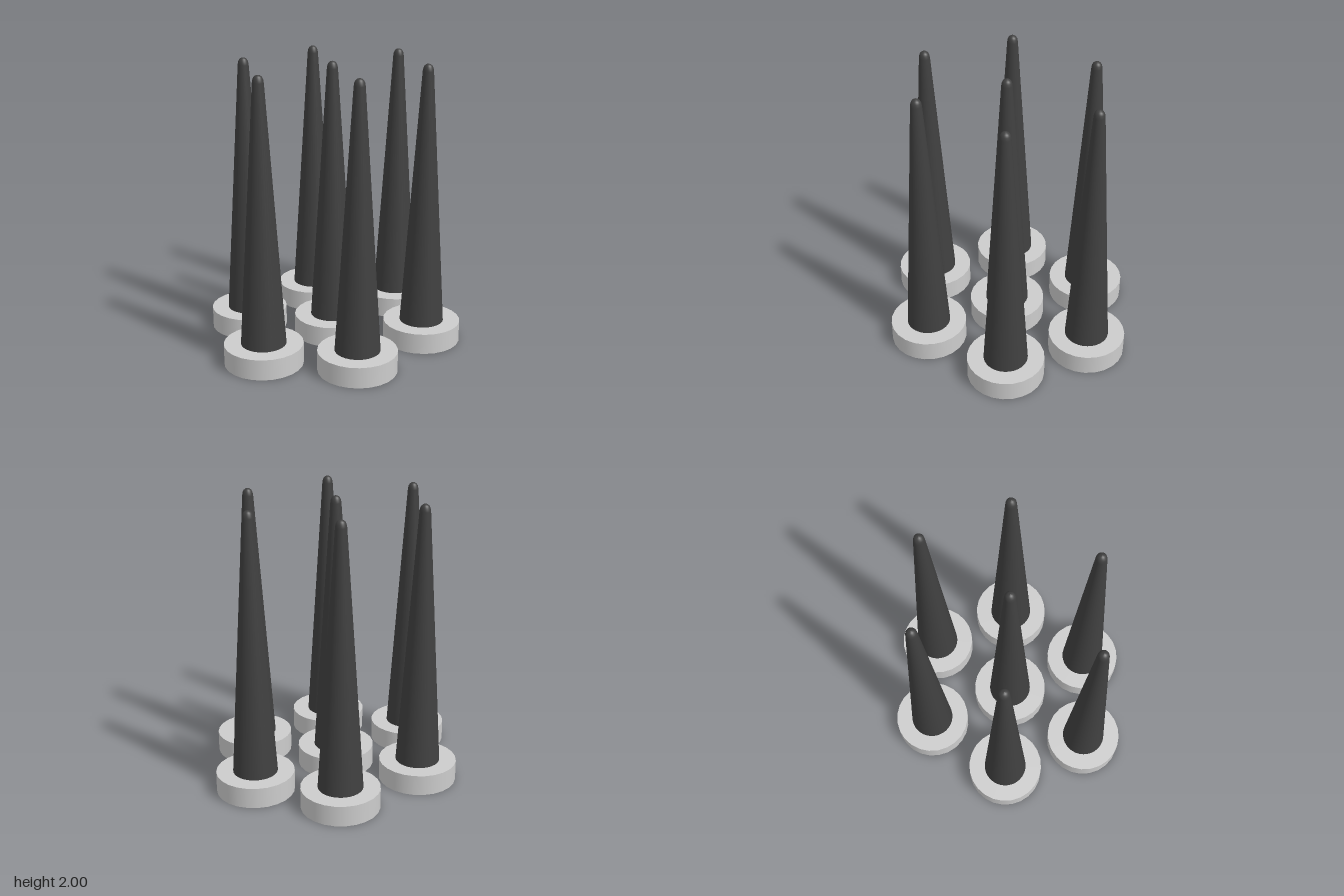
import * as THREE from 'three';

export function createModel() {
  const model = new THREE.Group();

  const baseGrey = new THREE.MeshStandardMaterial({ color: 0xcccccc });
  baseGrey.name = 'light grey';
  const spikeGrey = new THREE.MeshStandardMaterial({ color: 0x404040 });
  spikeGrey.name = 'charcoal';

  const baseHeight = 0.147;
  const baseGeometry = new THREE.CylinderGeometry(0.274, 0.274, baseHeight, 24);

  // Tapered spike with a rounded tip, turned from a short profile
  const profile = [[0.156, baseHeight], [0.038, 1.95], [0.034, 1.973], [0.026, 1.988], [0.014, 1.997], [0, 2]];
  const spikeGeometry = new THREE.LatheGeometry(profile.map(([r, y]) => new THREE.Vector2(r, y)), 32);

  // One spike in the middle, six in a ring around it
  const places = [
    [0, 0.005], [0, 0.69], [0, -0.693],
    [0.54, 0.33], [-0.54, 0.33], [0.54, -0.356], [-0.54, -0.356],
  ];
  places.forEach(([x, z], i) => {
    const post = new THREE.Group();
    post.name = `post${i + 1}`;
    const base = new THREE.Mesh(baseGeometry, baseGrey);
    base.name = 'roundBase';
    base.position.y = baseHeight / 2;
    const spike = new THREE.Mesh(spikeGeometry, spikeGrey);
    spike.name = 'spike';
    post.add(base, spike);
    post.position.set(x, 0, z);
    model.add(post);
  });

  return model;
}
